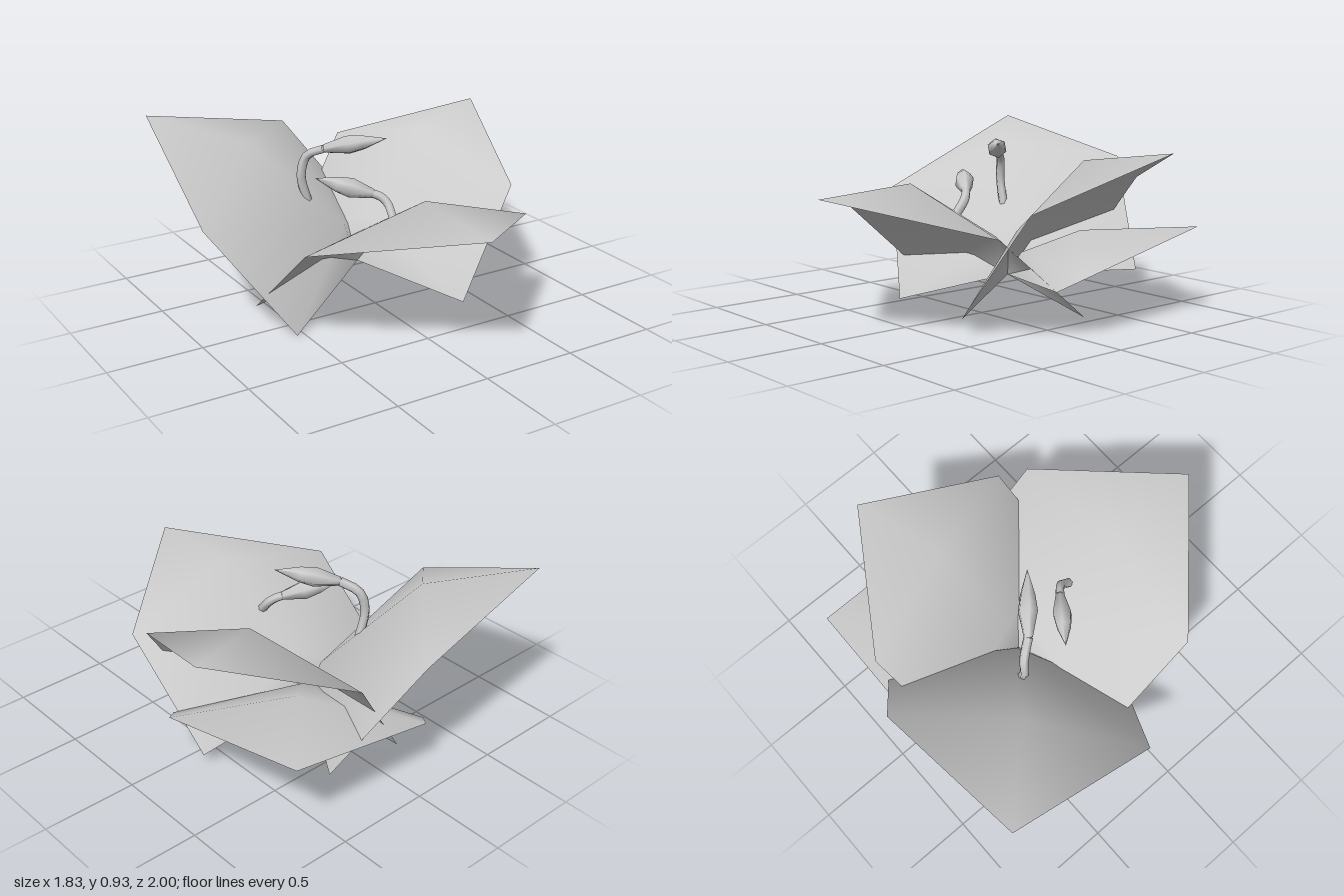
import * as THREE from 'three';

const V = (p) => new THREE.Vector3(...p);

// Six-cornered petal folded along a raised centre ridge, rising steeply from its base.
// Corner order: base left, base centre, base right, side left, ridge, side right, tip, throat.
function makePetal(name, corners, material) {
  const geometry = new THREE.BufferGeometry();
  geometry.setAttribute('position', new THREE.Float32BufferAttribute(corners.flat(), 3));
  geometry.setIndex([
    1, 7, 2, 2, 7, 5, 7, 4, 5,
    1, 0, 7, 0, 3, 7, 7, 3, 4,
    4, 6, 5, 4, 3, 6,
  ]);
  geometry.computeVertexNormals();
  const mesh = new THREE.Mesh(geometry, material);
  mesh.name = name;
  return mesh;
}

// Bent stalk with a pointed bud on its end.
function makeStamen(name, path, tip, material) {
  const group = new THREE.Group();
  group.name = name;
  const curve = new THREE.CatmullRomCurve3(path.map(V));
  const stalk = new THREE.Mesh(new THREE.TubeGeometry(curve, 10, 0.024, 6), material);
  stalk.name = name + 'Stalk';

  const start = V(path[path.length - 1]);
  const axis = V(tip).sub(start);
  const length = axis.length();
  const profile = [[0, -0.02], [0.024, 0], [0.052, 0.38], [0.04, 0.62], [0, 1]]
    .map(([r, t]) => new THREE.Vector2(r, t * length));
  const bud = new THREE.Mesh(new THREE.LatheGeometry(profile, 6), material);
  bud.name = name + 'Bud';
  bud.position.copy(start);
  bud.quaternion.setFromUnitVectors(new THREE.Vector3(0, 1, 0), axis.normalize());
  group.add(stalk, bud);
  return group;
}

export function createModel() {
  const model = new THREE.Group();
  model.name = 'flower';
  const material = new THREE.MeshStandardMaterial({ color: 0xcccccc, side: THREE.DoubleSide });
  const heart = [0, 0.18, -0.18];

  // Petals, all meeting at the heart
  const petals = {
    frontPetal: [[-0.64, 0.09, -0.12], heart, [0.64, 0.07, -0.12],
      [-0.64, 0.55, 0.41], [0, 0.72, 0.46], [0.64, 0.52, 0.44], [0, 0.69, 1], [0, 0.39, -0.1]],
    backRightPetal: [[0.38, 0.19, -0.76], heart, [-0.54, 0, 0.13],
      [0, 0.75, -1], [-0.45, 0.82, -0.53], [-0.92, 0.56, -0.11], [-0.85, 0.93, -0.93],
      [-0.05, 0.38, -0.23]],
    leftPetal: [[0.3, 0.08, 0.38], heart, [-0.09, 0.13, -0.75],
      [0.67, 0.62, 0.27], [0.46, 0.82, -0.28], [0.28, 0.67, -0.86], [0.91, 0.88, -0.44],
      [0.06, 0.42, -0.19]],
    backLeftPetal: [[0.66, 0.23, 0.09], heart, [-0.25, 0.23, -0.77],
      [0.76, 0.3, -0.01], [0.3, 0.43, -0.42], [-0.15, 0.3, -0.88], [0.7, 0.45, -0.88],
      [0.05, 0.3, -0.23]],
  };
  for (const [name, corners] of Object.entries(petals)) {
    model.add(makePetal(name, corners, material));
  }

  // Stamens
  model.add(makeStamen('tallStamen',
    [[-0.21, 0.51, -0.335], [-0.245, 0.66, -0.34], [-0.22, 0.77, -0.32], [-0.16, 0.82, -0.24]],
    [0.09, 0.89, -0.03], material));
  model.add(makeStamen('shortStamen',
    [[0, 0.54, 0.17], [0, 0.6, 0.12], [-0.02, 0.63, 0.09], [-0.05, 0.645, 0.065]],
    [-0.29, 0.72, -0.11], material));

  return model;
}
